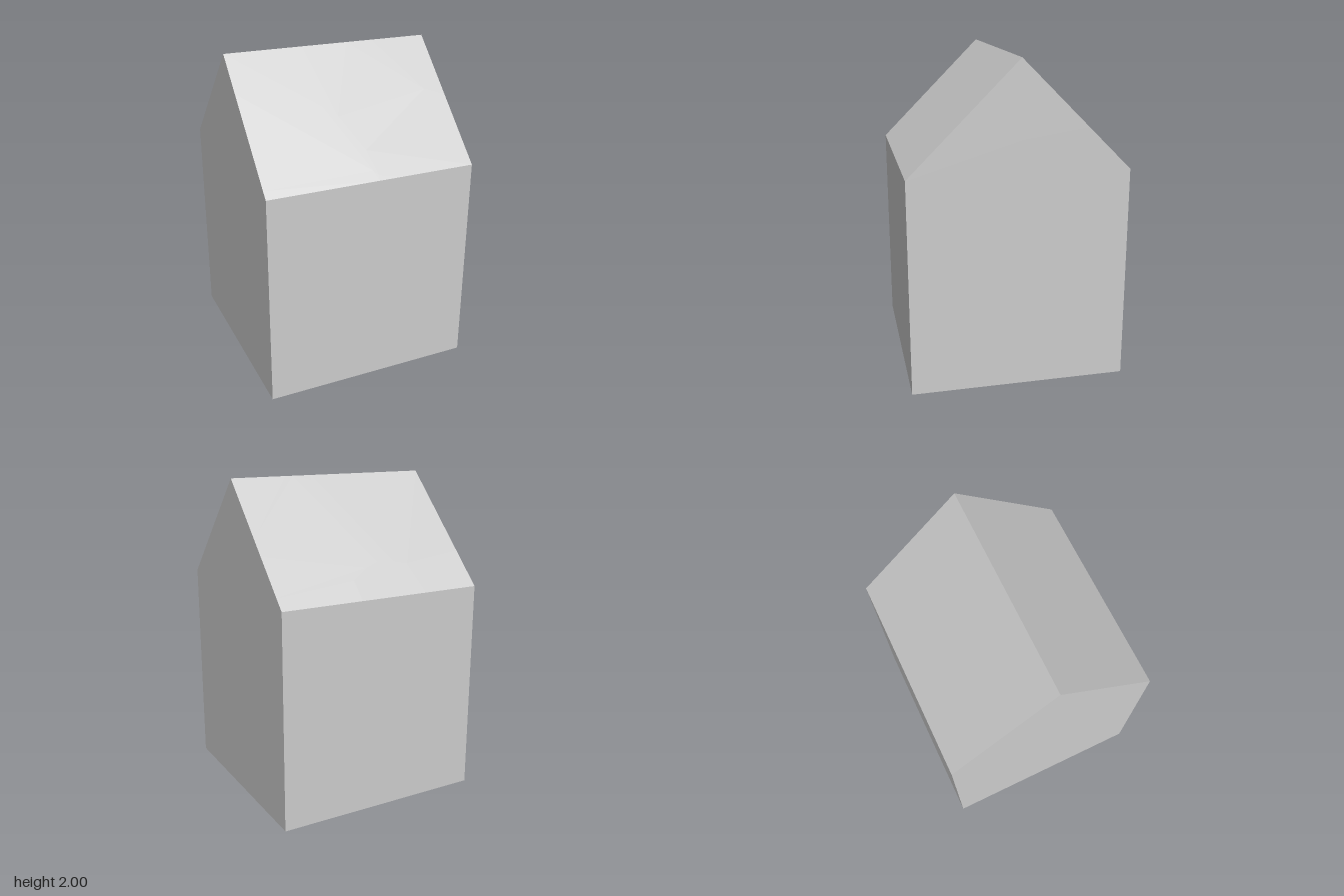
import * as THREE from 'three';
import { ConvexGeometry } from 'three/addons/geometries/ConvexGeometry.js';

const V = (x, y, z) => new THREE.Vector3(x, y, z);
const HALF = 2 / 3;

// Half-spaces of the gabled house block: n.p <= d
const R = Math.SQRT1_2;
const HOUSE = [
  [V(1, 0, 0), HALF], [V(-1, 0, 0), HALF],
  [V(0, 0, 1), HALF], [V(0, 0, -1), HALF],
  [V(0, -1, 0), 0],
  [V(0, R, R), 2 * R], [V(0, R, -R), 2 * R],
].map(([n, d]) => ({ n, d }));

// One seed point per shard, grouped by area of the house
const SEEDS = {
  frontWall: [[-0.39, 0.36, 0.38], [0.11, 0.36, 0.55], [-0.39, 1.02, 0.63], [0.27, 0.86, 0.63]],
  rightSide: [[0.27, 0.86, 0.1], [0.3, 0.8, -0.16], [0.3, 0.3, -0.35], [0.3, 1.0, -0.6],
    [0.36, 1.36, -0.16], [0.38, 1.42, 0.22]],
  roof: [[-0.4, 1.48, 0.28], [-0.29, 1.72, 0], [-0.05, 1.72, 0], [0.21, 1.72, 0.16],
    [0.3, 1.72, -0.16], [0.62, 1.92, 0]],
  backWall: [[-0.4, 0.95, -0.45], [0, 1.0, -0.6], [-0.3, 0.3, -0.4]],
};

// Plane halfway between two seeds
function bisector(a, b) {
  const n = b.clone().sub(a).normalize();
  return { n, d: n.dot(a.clone().add(b).multiplyScalar(0.5)) };
}

// Corner points of the convex region bounded by the planes
function corners(planes) {
  const found = [];
  const count = planes.length;
  for (let i = 0; i < count; i++) for (let j = i + 1; j < count; j++) {
    const a = planes[i], b = planes[j];
    const ab = a.n.clone().cross(b.n);
    for (let k = j + 1; k < count; k++) {
      const c = planes[k];
      const det = ab.dot(c.n);
      if (Math.abs(det) < 1e-6) continue;
      const p = b.n.clone().cross(c.n).multiplyScalar(a.d)
        .addScaledVector(c.n.clone().cross(a.n), b.d)
        .addScaledVector(ab, c.d).divideScalar(det);
      if (planes.some(({ n, d }) => n.dot(p) > d + 1e-6)) continue;
      if (!found.some(q => q.distanceTo(p) < 1e-4)) found.push(p);
    }
  }
  return found;
}

export function createModel() {
  const house = new THREE.Group();
  house.name = 'crackedHouse';
  const material = new THREE.MeshStandardMaterial({ color: 0xcccccc, flatShading: true });
  const all = Object.values(SEEDS).flat().map(p => V(...p));

  // Each shard is the part of the house nearest to its seed
  let index = 0;
  for (const [area, seeds] of Object.entries(SEEDS)) {
    const group = new THREE.Group();
    group.name = area;
    seeds.forEach((_, i) => {
      const seed = all[index++];
      const cuts = all.filter(s => s !== seed).map(s => bisector(seed, s));
      const points = corners([...HOUSE, ...cuts]);
      if (points.length < 4) return;
      const shard = new THREE.Mesh(new ConvexGeometry(points), material);
      shard.name = `${area}Shard${i + 1}`;
      group.add(shard);
    });
    house.add(group);
  }
  return house;
}
